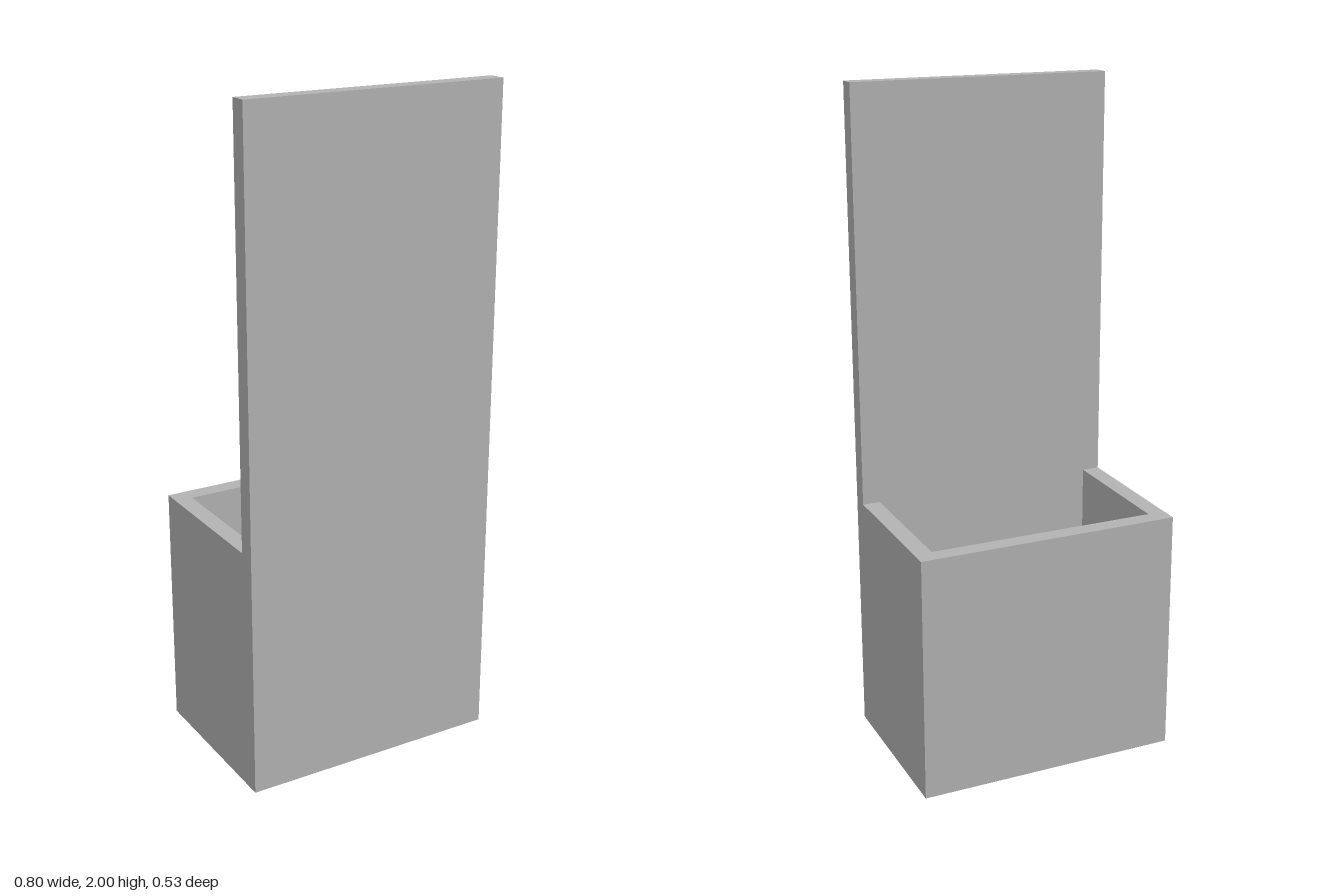
import * as THREE from 'three';

const T = 0.0533;          // wall thickness
const X = 0.4, Z = 0.2667; // half width, half depth
const BOX_H = 0.7467, PANEL_H = 2, HOLE = 0.054;

// Plan outline given as [x, z] pairs
const outline = (pts, Type = THREE.Shape) =>
  new Type(pts.map(([x, z]) => new THREE.Vector2(x, -z)));

const rect = (x, z0, z1) => [[-x, z1], [x, z1], [x, z0], [-x, z0]];

// Raise a plan outline from the ground to a height
function raise(shape, height) {
  const geo = new THREE.ExtrudeGeometry(shape, { depth: height, bevelEnabled: false });
  return geo.rotateX(-Math.PI / 2);
}

export function createModel() {
  const group = new THREE.Group();
  group.name = 'wallHolder';
  const grey = new THREE.MeshStandardMaterial({ color: 0xb3b3b3 });
  grey.name = 'grey';

  const add = (name, geometry) => {
    const mesh = new THREE.Mesh(geometry, grey);
    mesh.name = name;
    group.add(mesh);
    return mesh;
  };

  // Tall flat panel, which also closes the box
  add('tallPanel', new THREE.BoxGeometry(2 * X, PANEL_H, T))
    .position.set(0, PANEL_H / 2, Z - T / 2);

  // U-shaped walls of the open box
  const xi = X - T, zi = Z - T;
  add('boxWalls', raise(outline([
    [-X, zi], [-xi, zi], [-xi, -zi], [xi, -zi],
    [xi, zi], [X, zi], [X, -Z], [-X, -Z],
  ]), BOX_H));

  // Floor with a square hole through it
  const floor = outline(rect(xi, -zi, zi));
  floor.holes.push(outline(rect(HOLE, -HOLE, HOLE), THREE.Path));
  add('boxFloor', raise(floor, T));

  return group;
}
